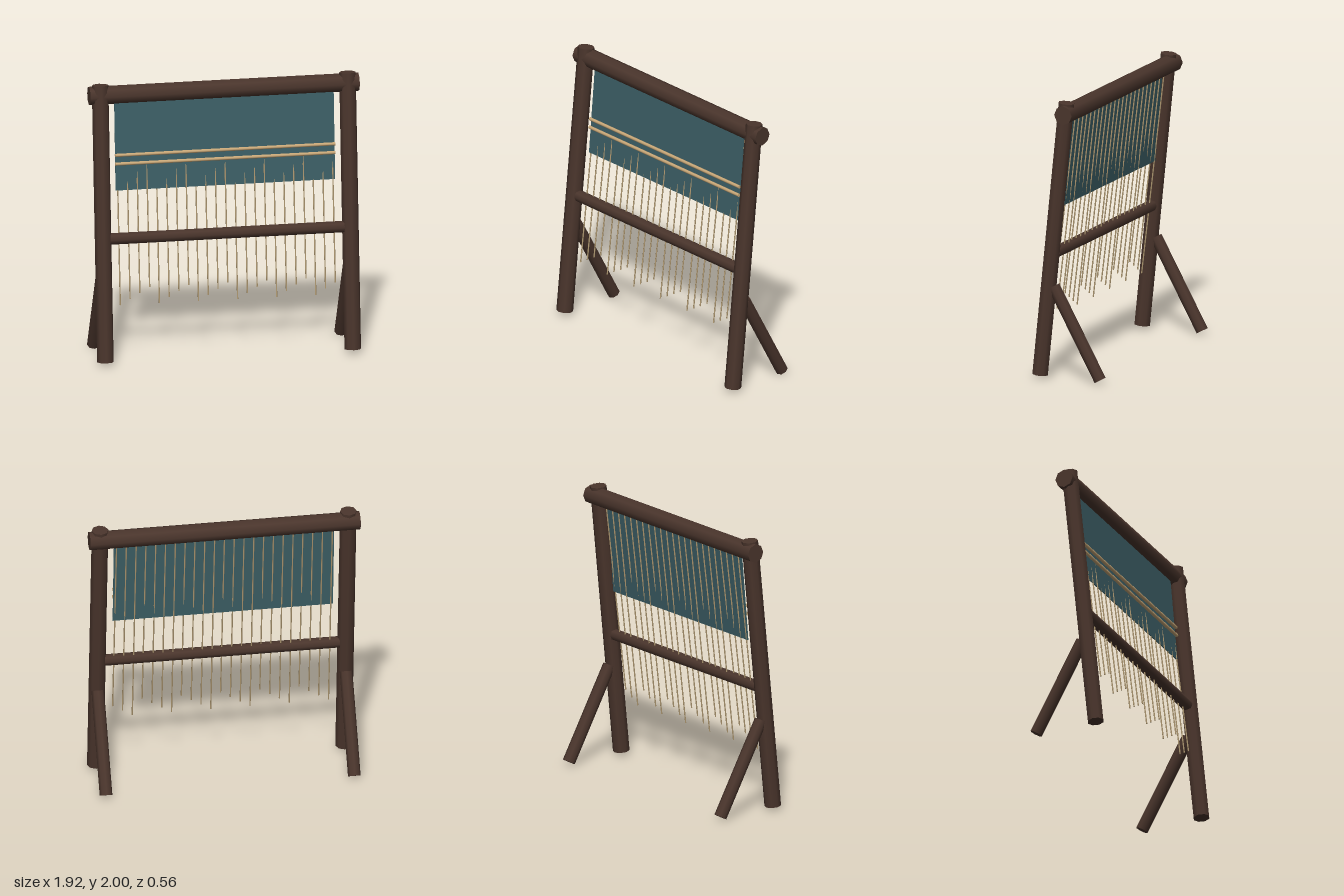
import * as THREE from 'three';

const mat = (name, color) => {
  const m = new THREE.MeshStandardMaterial({ color });
  m.name = name;
  return m;
};

export function createModel() {
  const group = new THREE.Group();
  group.name = 'weightedLoom';
  const wood = mat('dark wood', 0x4a352c);
  const cane = mat('pale cane', 0xc9a878);
  const yarn = mat('yarn', 0xb39c74);
  const clothMat = mat('teal cloth', 0x3c5f66);

  // Round bar running between two points
  function bar(name, a, b, radius, sides, material) {
    const from = new THREE.Vector3(...a), to = new THREE.Vector3(...b);
    const dir = to.clone().sub(from);
    const mesh = new THREE.Mesh(new THREE.CylinderGeometry(radius, radius, dir.length(), sides), material);
    mesh.position.copy(from).add(to).multiplyScalar(0.5);
    mesh.quaternion.setFromUnitVectors(new THREE.Vector3(0, 1, 0), dir.normalize());
    mesh.name = name;
    group.add(mesh);
    return mesh;
  }

  // Leaning posts with rear braces
  for (const [side, s] of [['left', 1], ['right', -1]]) {
    const x = 0.882 * s;
    bar(side + 'Post', [x, 0.03, 0.222], [x, 1.994, 0.02], 0.059, 8, wood);
    bar(side + 'Brace', [x, 0.025, -0.238], [x, 0.67, 0.117], 0.045, 8, wood);
  }

  // Cross beams
  bar('topBeam', [-0.96, 1.918, 0.013], [0.96, 1.918, 0.013], 0.067, 8, wood);
  bar('heddleBar', [-0.835, 0.9, 0.132], [0.835, 0.9, 0.132], 0.042, 8, wood);

  // Woven cloth, leaning a little less than the warp
  const clothZ = (y) => 0.026 + (1.86 - y) * 0.087;
  const top = 1.9, bottom = 1.235;
  const cloth = new THREE.Mesh(new THREE.BoxGeometry(1.565, top - bottom, 0.006), clothMat);
  cloth.position.set(0, (top + bottom) / 2, clothZ((top + bottom) / 2));
  cloth.rotation.x = -Math.atan(0.087);
  cloth.name = 'cloth';
  group.add(cloth);

  // Two thin rods lying on the front of the cloth
  for (const y of [1.49, 1.428]) {
    const z = clothZ(y) + 0.013;
    bar('patternRod', [-0.785, y, z], [0.785, y, z], 0.012, 8, cane);
  }

  // Warp threads with staggered lower ends
  for (let i = 0; i < 23; i++) {
    const x = (i - 11) * 0.0697;
    const low = 0.425 + (i % 4) * 0.041;
    bar('warpThread', [x, low, 0.175], [x, 1.87, 0.004], 0.005, 6, yarn);
  }

  return group;
}
